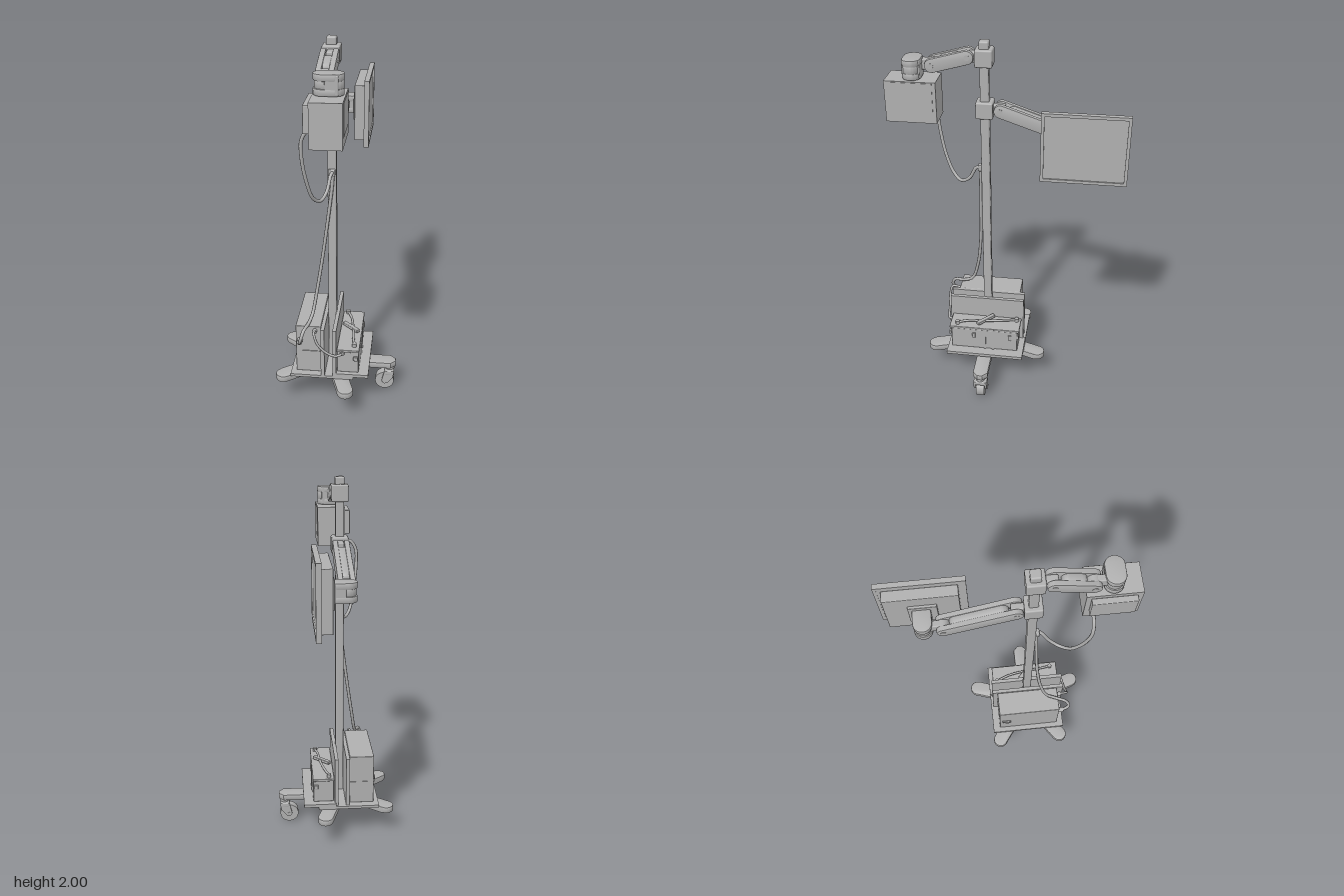
import * as THREE from 'three';
import { RoundedBoxGeometry } from 'three/addons/geometries/RoundedBoxGeometry.js';
import { toCreasedNormals } from 'three/addons/utils/BufferGeometryUtils.js';

const grey = new THREE.MeshStandardMaterial({ color: 0xb0b0b0 });
grey.name = 'grey';
const PX = -0.032, PZ = 0.125; // pole axis

export function createModel() {
  const model = new THREE.Group();
  model.name = 'equipmentStand';

  const add = (name, geometry, parent = model) => {
    const mesh = new THREE.Mesh(geometry, grey);
    mesh.name = name;
    parent.add(mesh);
    return mesh;
  };
  // Box from its limits, with rounded edges when r is given
  const box = (name, x0, x1, y0, y1, z0, z1, r = 0, parent = model) => {
    const s = [x1 - x0, y1 - y0, z1 - z0];
    const m = add(name, r ? new RoundedBoxGeometry(...s, 2, r) : new THREE.BoxGeometry(...s), parent);
    m.position.set((x0 + x1) / 2, (y0 + y1) / 2, (z0 + z1) / 2);
    return m;
  };
  const cylinder = (name, r, h, x, y, z, axis = 'y', sides = 24, parent = model) => {
    const g = new THREE.CylinderGeometry(r, r, h, sides);
    if (axis === 'x') g.rotateZ(Math.PI / 2);
    if (axis === 'z') g.rotateX(Math.PI / 2);
    const m = add(name, g, parent);
    m.position.set(x, y, z);
    return m;
  };
  const extrude = (shape, depth, bevel = 0) => toCreasedNormals(new THREE.ExtrudeGeometry(shape, {
    depth: depth - 2 * bevel, bevelEnabled: bevel > 0, bevelSize: bevel, bevelThickness: bevel,
    bevelOffset: -bevel, bevelSegments: 2, curveSegments: 10,
  }).translate(0, 0, bevel - depth / 2), 0.6);
  // Bar with round ends, running from u0 to u1 (including the ends)
  const capsule = (u0, u1, w) => {
    const r = w / 2, s = new THREE.Shape();
    s.absarc(u1 - r, 0, r, -Math.PI / 2, Math.PI / 2, false);
    s.absarc(u0 + r, 0, r, Math.PI / 2, Math.PI * 1.5, false);
    s.closePath();
    return s;
  };
  const cable = (name, points, r = 0.009) => add(name, new THREE.TubeGeometry(
    new THREE.CatmullRomCurve3(points.map(p => new THREE.Vector3(...p))), 70, r, 8));

  // Five-legged base
  for (let i = 0; i < 5; i++) {
    const s = new THREE.Shape();
    const corner = i === 0 ? 0.028 : 0.04;
    s.moveTo(0, -0.042);
    s.lineTo(0.357 - corner, -0.042);
    if (i === 0) { s.lineTo(0.357, -0.042 + corner); s.lineTo(0.357, 0.042 - corner); s.lineTo(0.357 - corner, 0.042); }
    else s.absarc(0.315, 0, 0.042, -Math.PI / 2, Math.PI / 2, false);
    s.lineTo(0, 0.042);
    s.closePath();
    const leg = add('baseLeg', extrude(s, 0.036, 0.005).rotateX(-Math.PI / 2));
    leg.position.set(PX, 0.165, PZ);
    leg.rotation.y = i * Math.PI * 0.4;
  }
  cylinder('baseHub', 0.05, 0.05, PX, 0.16, PZ);

  // Caster under the straight leg
  const caster = new THREE.Group();
  caster.name = 'caster';
  model.add(caster);
  cylinder('casterStem', 0.024, 0.04, 0.292, 0.135, PZ, 'y', 20, caster);
  cylinder('casterWheel', 0.053, 0.046, 0.265, 0.053, PZ, 'z', 32, caster);
  box('forkCrown', 0.264, 0.318, 0.1, 0.128, PZ - 0.038, PZ + 0.038, 0.008, caster);
  for (const side of [-1, 1]) {
    const f = new THREE.Shape([[0.318, 0.125], [0.264, 0.125], [0.248, 0.055], [0.265, 0.04], [0.283, 0.046], [0.312, 0.085]]
      .map(p => new THREE.Vector2(...p)));
    add('forkCheek', extrude(f, 0.012), caster).position.z = PZ + side * 0.031;
  }
  cylinder('casterAxle', 0.012, 0.076, 0.265, 0.053, PZ, 'z', 12, caster);

  // Trays and equipment cases
  box('leftTray', -0.243, 0.1, 0.184, 0.2, -0.098, 0.34);
  box('rightTray', 0.0, 0.182, 0.2, 0.218, -0.098, 0.34);
  box('tallCase', -0.215, -0.078, 0.2, 0.488, -0.057, 0.302, 0.004);
  box('tallCaseSeam', -0.18, -0.078, 0.328, 0.334, -0.06, 0.306);
  box('tallCaseLatch', -0.222, -0.213, 0.32, 0.35, -0.04, 0.01, 0.003);
  cylinder('caseKnob', 0.014, 0.012, -0.22, 0.335, -0.01, 'x', 16);
  box('leftPanel', -0.076, -0.056, 0.2, 0.49, -0.085, 0.34);
  box('rightPanel', -0.012, 0.008, 0.2, 0.488, -0.085, 0.34);
  box('lowCase', 0.012, 0.128, 0.218, 0.35, -0.064, 0.318, 0.004);
  box('lowCaseLid', 0.01, 0.131, 0.35, 0.365, -0.075, 0.328, 0.004);
  for (const z of [0.07, 0.118]) box('lowCaseStrap', 0.126, 0.133, 0.218, 0.365, z, z + 0.012);
  for (const z of [-0.03, 0.178]) box('lowCaseLatch', 0.126, 0.136, 0.295, 0.328, z, z + 0.018, 0.003);
  for (const z of [-0.072, 0.32]) box('caseClip', 0.1, 0.124, 0.3, 0.325, z, z + 0.012, 0.003);

  // Carrying handle and bar on the low case lid
  cable('lidCord', [[0.038, 0.375, -0.05], [0.065, 0.384, 0.03], [0.082, 0.384, 0.13], [0.09, 0.384, 0.22], [0.102, 0.375, 0.285]], 0.007);
  cylinder('cordKnob', 0.013, 0.022, 0.038, 0.374, -0.05, 'y', 6);
  cylinder('cordKnob', 0.013, 0.022, 0.102, 0.374, 0.285, 'y', 6);
  const lidBar = box('lidBar', -0.06, 0.06, -0.009, 0.009, -0.012, 0.012, 0.004);
  lidBar.position.set(0.07, 0.385, 0.125);
  lidBar.rotation.y = -0.75;

  // Pole
  box('pole', PX - 0.023, PX + 0.023, 0.13, 1.97, PZ - 0.023, PZ + 0.023, 0.008);
  box('poleCap', PX - 0.025, PX + 0.025, 1.95, 2.0, PZ - 0.025, PZ + 0.025, 0.009);
  for (const y of [1.918, 1.65])
    box('poleCollar', PX - 0.044, PX + 0.044, y - 0.044, y + 0.044, PZ - 0.044, PZ + 0.044, 0.008);
  box('cableClip', PX - 0.018, PX + 0.018, 1.3, 1.335, PZ + 0.015, PZ + 0.042, 0.005);

  // Arm between two hinge points: two cheeks, a shorter core and hinge tongues
  const arm = (name, z0, y0, z1, y1) => {
    const g = new THREE.Group();
    g.name = name;
    const len = Math.hypot(z1 - z0, y1 - y0);
    g.position.set(PX, y0, z0);
    g.rotation.order = 'YXZ';
    g.rotation.y = z1 < z0 ? Math.PI : 0;
    g.rotation.x = -Math.atan2(y1 - y0, Math.abs(z1 - z0));
    model.add(g);
    const bar = (n, a, b, h, t, x) => {
      add(n, extrude(capsule(a, b, h), t, 0.005).rotateY(-Math.PI / 2), g).position.x = x;
    };
    for (const s of [-1, 1]) bar('armCheek', -0.032, len + 0.032, 0.07, 0.027, s * 0.03);
    bar('armCore', 0.035, len - 0.035, 0.064, 0.04, 0);
    for (const u of [0, len]) cylinder('hingePin', 0.014, 0.09, 0, 0, u, 'x', 16, g);
    return g;
  };
  // Swivel beyond an arm: stacked rounded plates and a tongue back to the hinge
  const swivel = (name, zc, y, hingeZ, hingeY) => {
    const g = new THREE.Group();
    g.name = name;
    model.add(g);
    for (const s of [-1, 0, 1]) {
      const shape = capsule(-0.076 + (s ? 0 : 0.006), 0.065, s ? 0.092 : 0.08);
      add('swivelPlate', extrude(shape, s ? 0.032 : 0.04, 0.004).rotateX(-Math.PI / 2), g)
        .position.set(0, y + s * 0.033, zc);
    }
    box('swivelBlock', -0.02, 0.042, y - 0.046, y + 0.046, zc - 0.045, zc + 0.045, 0.006, g);
    box('hingeTongue', PX - 0.017, PX + 0.017, hingeY - 0.028, hingeY + 0.028,
      Math.min(zc, hingeZ), Math.max(zc, hingeZ), 0.006, g);
    cylinder('hingeKnuckle', 0.031, 0.034, PX, hingeY, hingeZ, 'x', 24, g);
  };
  box('upperTongue', PX - 0.017, PX + 0.017, 1.89, 1.945, 0.15, 0.225, 0.008);
  arm('upperArm', 0.205, 1.922, 0.385, 1.872);
  swivel('headSwivel', 0.478, 1.862, 0.385, 1.872);
  box('lowerTongue', PX - 0.017, PX + 0.017, 1.622, 1.678, 0.02, 0.1, 0.008);
  arm('lowerArm', 0.045, 1.652, -0.3, 1.535);
  swivel('monitorSwivel', -0.395, 1.528, -0.3, 1.535);

  // Head unit
  box('headCase', -0.08, 0.07, 1.597, 1.81, 0.352, 0.61);
  box('headSidePanel', -0.11, -0.08, 1.66, 1.79, 0.375, 0.585, 0.004);
  box('headWindow', 0.069, 0.073, 1.65, 1.805, 0.37, 0.59);

  // Monitor facing the model's left
  const MY = 1.525, MZ = -0.388;
  box('monitorBracket', 0.036, 0.054, MY - 0.075, MY + 0.075, MZ - 0.07, MZ + 0.07, 0.003);
  box('monitorBack', 0.05, 0.106, MY - 0.155, MY + 0.15, MZ - 0.182, MZ + 0.178, 0.004);
  box('monitorScreen', 0.105, 0.124, MY - 0.175, MY + 0.175, MZ - 0.208, MZ + 0.208);
  const rect = (C, w, h) => new C([[-w, -h], [w, -h], [w, h], [-w, h]].map(p => new THREE.Vector2(...p)));
  const frame = rect(THREE.Shape, 0.216, 0.183);
  frame.holes.push(rect(THREE.Path, 0.2, 0.167));
  add('monitorFrame', extrude(frame, 0.027).rotateY(Math.PI / 2)).position.set(0.1175, MY, MZ);

  // Cables
  cable('headCable', [[-0.075, 1.62, 0.4], [-0.115, 1.615, 0.4], [-0.145, 1.57, 0.398], [-0.148, 1.48, 0.39],
    [-0.13, 1.34, 0.36], [-0.105, 1.24, 0.315], [-0.075, 1.21, 0.27], [-0.05, 1.24, 0.22],
    [-0.035, 1.31, 0.18], [-0.025, 1.325, 0.155]]);
  cable('poleCable', [[-0.025, 1.325, 0.155], [-0.03, 1.25, 0.155], [-0.05, 1.08, 0.16], [-0.08, 0.85, 0.17],
    [-0.11, 0.65, 0.195], [-0.13, 0.53, 0.235], [-0.145, 0.5, 0.29], [-0.165, 0.485, 0.345],
    [-0.18, 0.44, 0.365], [-0.19, 0.405, 0.34], [-0.192, 0.4, 0.3]]);
  cable('linkCable', [[-0.11, 0.465, 0.295], [-0.11, 0.472, 0.35], [-0.09, 0.42, 0.365], [-0.05, 0.37, 0.36],
    [0, 0.343, 0.355], [0.03, 0.345, 0.345], [0.04, 0.345, 0.31]], 0.007);
  cylinder('cablePlug', 0.015, 0.035, -0.192, 0.4, 0.315, 'z', 16);
  cylinder('cablePlug', 0.012, 0.025, -0.11, 0.465, 0.31, 'z', 16);
  cylinder('cablePlug', 0.012, 0.025, 0.04, 0.345, 0.325, 'z', 16);

  return model;
}
